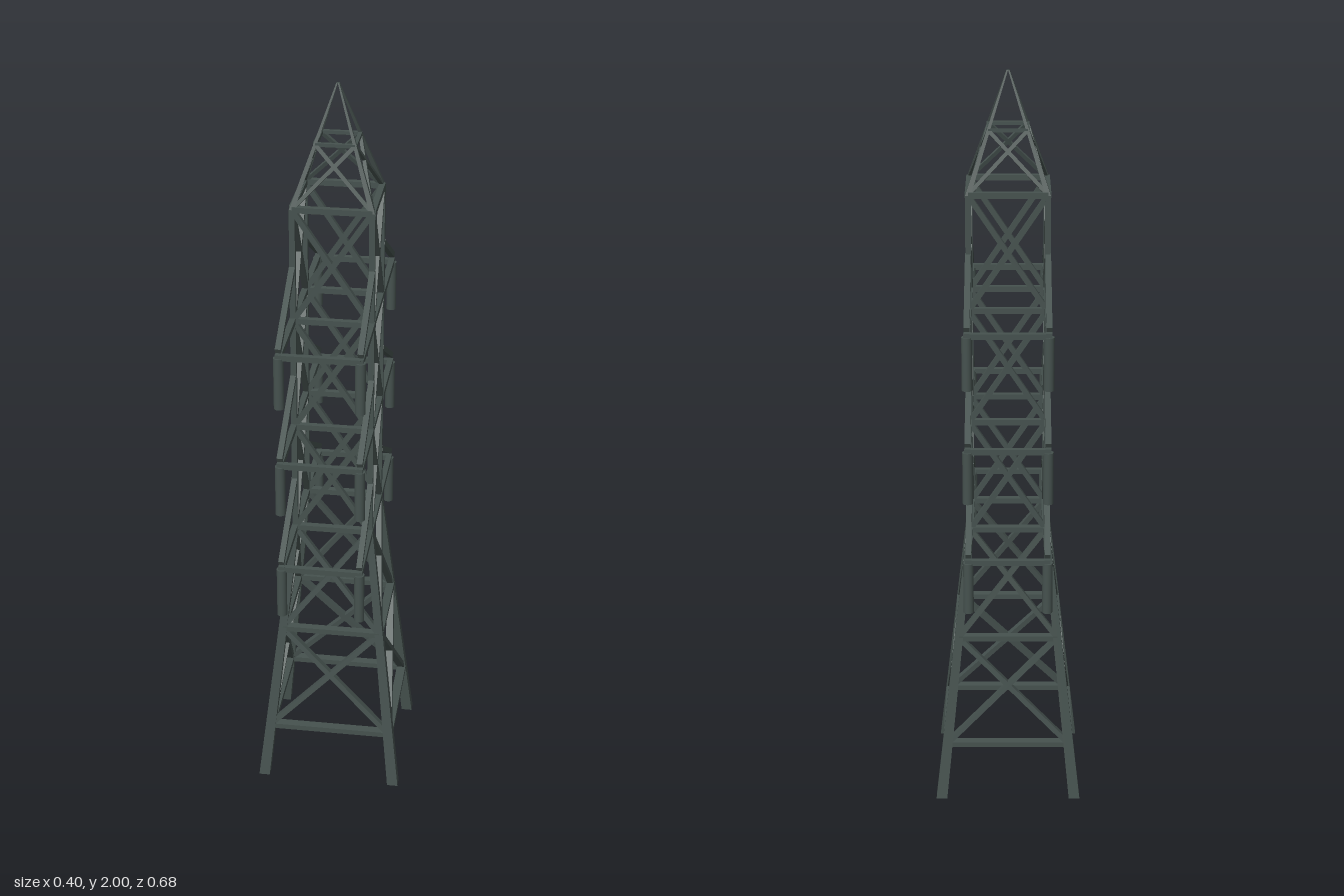
import * as THREE from 'three';

const V = (x, y, z) => new THREE.Vector3(x, y, z);

export function createModel() {
  const tower = new THREE.Group();
  tower.name = 'latticeTower';
  const steel = new THREE.MeshStandardMaterial({ color: 0x46524f });

  const add = (parent, geometry, name) => {
    const mesh = new THREE.Mesh(geometry, steel);
    mesh.name = name;
    parent.add(mesh);
    return mesh;
  };

  // Bar from a to b: "thick" across the bar, "depth" along the given normal
  const bar = (parent, name, a, b, thick, depth, normal) => {
    const dir = b.clone().sub(a);
    const length = dir.length();
    dir.normalize();
    const side = dir.clone().cross(normal).normalize();
    const out = side.clone().cross(dir);
    const geo = new THREE.BoxGeometry(thick, length, depth);
    geo.applyMatrix4(new THREE.Matrix4().makeBasis(side, dir, out));
    const mid = a.clone().add(b).multiplyScalar(0.5);
    geo.translate(mid.x, mid.y, mid.z);
    add(parent, geo, name);
  };

  // Tapered leg section whose ends stay level and square
  const leg = (parent, name, a, b, wa, wb) => {
    const geo = new THREE.BoxGeometry(1, 1, 1);
    const p = geo.attributes.position;
    for (let i = 0; i < p.count; i++) {
      const top = p.getY(i) > 0;
      const c = top ? b : a;
      const w = top ? wb : wa;
      p.setXYZ(i, c.x + p.getX(i) * w, c.y, c.z + p.getZ(i) * w);
    }
    geo.computeVertexNormals();
    add(parent, geo, name);
  };

  // Half width of the tower at a height
  const KNEE = 0.78, SHOULDER = 1.7, TOP = 2;
  const half = (y) => {
    if (y < KNEE) return THREE.MathUtils.lerp(0.185, 0.102, y / KNEE);
    if (y < SHOULDER) return 0.102;
    return THREE.MathUtils.lerp(0.102, 0.002, (y - SHOULDER) / (TOP - SHOULDER));
  };

  // Four corner legs, each with a splayed, an upright and a peak section
  const sections = [
    ['lowerLeg', 0, KNEE, 0.03, 0.018],
    ['upperLeg', KNEE, SHOULDER, 0.015, 0.015],
    ['peakLeg', SHOULDER, TOP, 0.014, 0.004],
  ];
  for (const sx of [-1, 1]) for (const sz of [-1, 1]) {
    for (const [name, y0, y1, w0, w1] of sections) {
      const h0 = half(y0), h1 = half(y1);
      leg(tower, name, V(sx * h0, y0, sz * h0), V(sx * h1, y1, sz * h1), w0, w1);
    }
  }

  // Lattice on each of the four faces: level bars and crossed braces
  const levels = [0.16, 0.47, 0.78, 1.088, 1.395, 1.7, 1.855];
  const depths = [0.025, 0.022, 0.018, 0.016, 0.016, 0.016, 0.01];
  for (let f = 0; f < 4; f++) {
    const face = new THREE.Group();
    face.name = 'latticeFace';
    face.rotation.y = f * Math.PI / 2;
    tower.add(face);
    levels.forEach((y, i) => {
      const h = half(y);
      const thick = i === 6 ? 0.009 : 0.015;
      bar(face, 'levelBar', V(-h, y, h), V(h, y, h), thick, depths[i], V(0, 0, 1));
      if (i === levels.length - 1) return;
      const y1 = levels[i + 1], h1 = half(y1);
      const normal = V(0, h - h1, y1 - y).normalize();
      const w = i === 5 ? 0.01 : 0.014;
      for (const s of [-1, 1]) {
        bar(face, 'crossBrace', V(-s * h, y, h), V(s * h1, y1, h1), w, depths[i + 1] * 0.9, normal);
      }
    });
  }

  // Cross arms at three levels, front and back, with hanging insulators
  const TIP = 0.325;
  for (const y of [levels[2], levels[3], levels[4]]) {
    for (const sz of [-1, 1]) {
      const arm = new THREE.Group();
      arm.name = 'crossArm';
      tower.add(arm);
      for (const sx of [-1, 1]) {
        const x = sx * 0.103;
        bar(arm, 'armBeam', V(x, y, sz * 0.1), V(x, y, sz * 0.332), 0.016, 0.016, V(0, 1, 0));
        bar(arm, 'armStay', V(x, y + 0.148, sz * 0.1), V(x, y + 0.018, sz * 0.33), 0.015, 0.015, V(1, 0, 0));
        const insulator = add(arm, new THREE.CylinderGeometry(0.0135, 0.0135, 0.14, 16), 'insulator');
        insulator.position.set(x, y - 0.072, sz * TIP);
      }
      bar(arm, 'armEndBar', V(-0.103, y, sz * TIP), V(0.103, y, sz * TIP), 0.015, 0.015, V(0, 1, 0));
    }
  }
  return tower;
}
